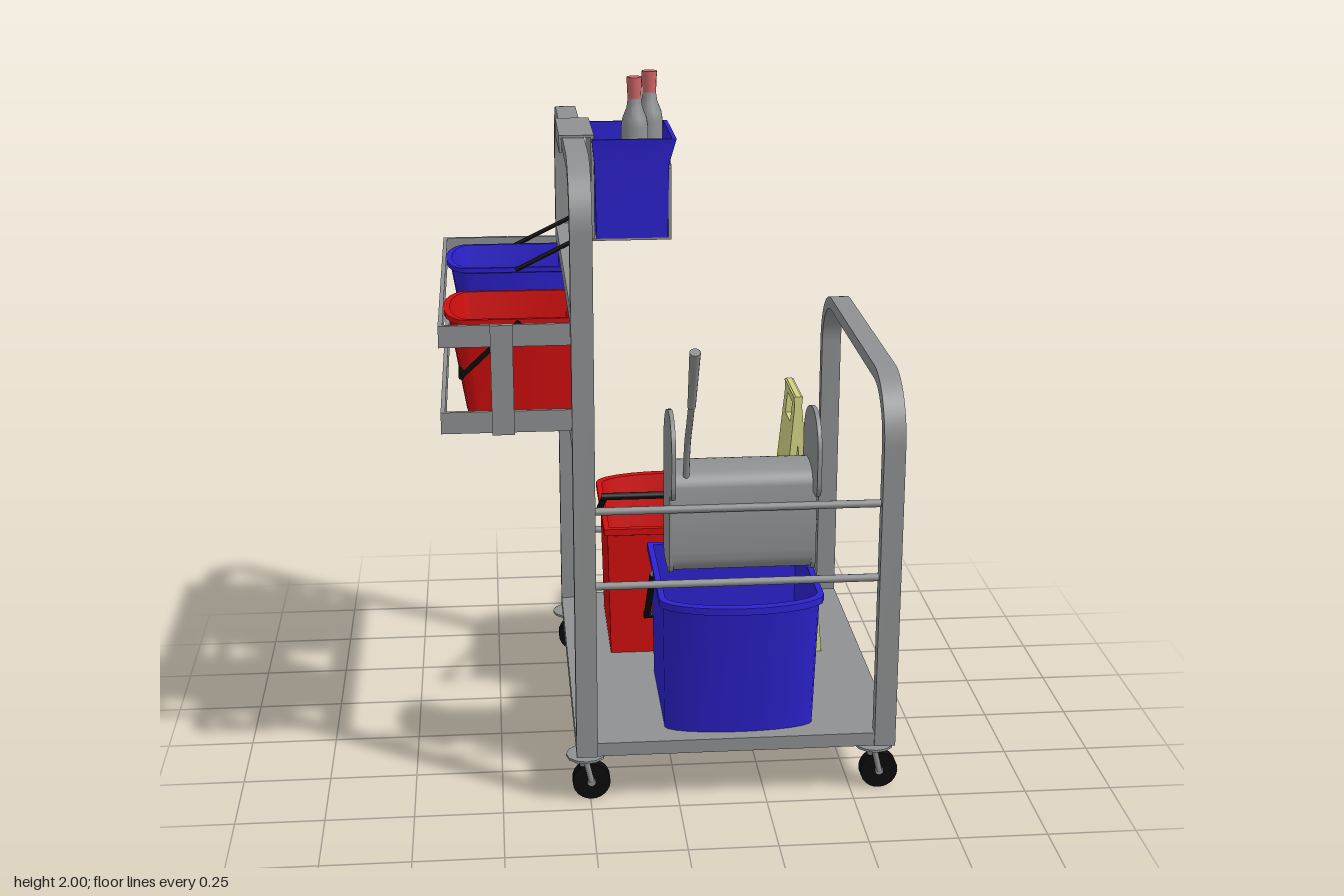
import * as THREE from 'three';
import { toCreasedNormals } from 'three/addons/utils/BufferGeometryUtils.js';

const mat = (name, color, side = THREE.FrontSide) => {
  const m = new THREE.MeshStandardMaterial({ color, side });
  m.name = name;
  return m;
};

export function createModel() {
  const root = new THREE.Group();
  root.name = 'cleaningCart';
  const gray = mat('steelGray', 0x8e9091), blue = mat('blue', 0x2c22cf), red = mat('red', 0xd20e0e);
  const black = mat('black', 0x0b0b0b), yellow = mat('brightYellow', 0xd4d20e);
  const pale = mat('paleYellow', 0xd3d284), pink = mat('pinkCap', 0xd0666a);

  const add = (name, geo, m, parent = root) => {
    const mesh = new THREE.Mesh(geo, m);
    mesh.name = name;
    parent.add(mesh);
    return mesh;
  };
  // box given by its bounds
  const box = (name, m, x0, x1, y0, y1, z0, z1, parent) =>
    add(name, new THREE.BoxGeometry(x1 - x0, y1 - y0, z1 - z0)
      .translate((x0 + x1) / 2, (y0 + y1) / 2, (z0 + z1) / 2), m, parent);
  // round rod between two points
  const rod = (name, m, a, b, r, parent, r2 = r) => {
    const A = new THREE.Vector3(...a), B = new THREE.Vector3(...b), d = B.clone().sub(A);
    const mesh = add(name, new THREE.CylinderGeometry(r2, r, d.length(), 12), m, parent);
    mesh.position.copy(A).add(B).multiplyScalar(0.5);
    mesh.quaternion.setFromUnitVectors(new THREE.Vector3(0, 1, 0), d.normalize());
    return mesh;
  };
  // shape drawn in (z, y), extruded from x0 to x1
  const slab = (name, m, shape, x0, x1, parent) => {
    const g = new THREE.ExtrudeGeometry(shape, { depth: x1 - x0, bevelEnabled: false, curveSegments: 12 });
    g.rotateY(-Math.PI / 2).translate(x1, 0, 0);
    return add(name, toCreasedNormals(g, 0.5), m, parent);
  };
  const poly = pts => new THREE.Shape(pts.map(p => new THREE.Vector2(...p)));

  // platform
  box('platform', gray, -0.29, 0.62, 0.15, 0.19, -0.635, 0.47);

  // bent end frames
  const hoop = (name, x0, x1, top) => {
    const a = -0.635, b = 0.475, t = 0.037, R = 0.185, s = new THREE.Shape();
    s.moveTo(a, 0.15);
    s.lineTo(a, top - R);
    s.absarc(a + R, top - R, R, Math.PI, Math.PI / 2, true);
    s.absarc(b - R, top - R, R, Math.PI / 2, 0, true);
    s.lineTo(b, 0.15);
    s.lineTo(b - t, 0.15);
    s.absarc(b - R, top - R, R - t, 0, Math.PI / 2, false);
    s.absarc(a + R, top - R, R - t, Math.PI / 2, Math.PI, false);
    s.lineTo(a + t, 0.15);
    slab(name, gray, s, x0, x1);
  };
  hoop('tallFrame', -0.29, -0.23, 1.84);
  hoop('shortFrame', 0.56, 0.62, 1.23);
  for (const y of [1.405, 1.06]) box('frameCrossbar', gray, -0.29, -0.23, y, y + 0.048, -0.62, 0.46);

  // side rails
  for (const [y, z] of [[0.88, 0.45], [0.66, 0.45], [0.42, -0.617]])
    rod('sideRail', gray, [-0.25, y, z], [0.58, y, z], 0.011);

  // casters
  for (const x of [-0.262, 0.568]) for (const z of [0.42, -0.617]) {
    const c = new THREE.Group();
    c.name = 'caster';
    c.position.set(x, 0, z);
    root.add(c);
    rod('casterPlate', gray, [0, 0.13, 0], [0, 0.137, 0], 0.056, c);
    rod('casterStem', gray, [0, 0.1, 0], [0, 0.155, 0], 0.018, c);
    for (const s of [-1, 1]) rod('casterFork', gray, [0, 0.12, s * 0.02], [0.015, 0.055, s * 0.02], 0.008, c);
    add('wheel', new THREE.CylinderGeometry(0.054, 0.054, 0.034, 24).rotateX(Math.PI / 2), black, c)
      .position.set(0.015, 0.054, 0);
    rod('axle', gray, [0.015, 0.054, -0.024], [0.015, 0.054, 0.024], 0.012, c);
  }

  // hanging side rack
  for (const y of [1.11, 1.35]) {
    box('rackFront', gray, -0.64, -0.628, y, y + 0.06, -0.615, 0.437);
    for (const z of [-0.615, 0.425]) box('rackEnd', gray, -0.64, -0.27, y, y + 0.06, z, z + 0.012);
  }
  box('rackStrap', gray, -0.503, -0.443, 1.105, 1.113, -0.62, 0.442);
  for (const z of [-0.622, 0.434]) box('rackStrap', gray, -0.503, -0.443, 1.105, 1.41, z, z + 0.01);

  // bucket: cross-sections with a flat back and bowed nose, lofted bottom - lip - inside
  const ring = (w, back, d0, d, y) => {
    const pts = [[-w / 2, y, back], [w / 2, y, back]];
    for (let i = 0; i <= 12; i++) {
      const t = Math.PI * i / 12;
      pts.push([w / 2 * Math.cos(t), y, d0 + (d - d0) * Math.sin(t)]);
    }
    return pts;
  };
  const loft = rings => {
    const n = rings[0].length, idx = [];
    for (let k = 0; k < rings.length - 1; k++) for (let i = 0; i < n; i++) {
      const a = k * n + i, b = k * n + (i + 1) % n;
      idx.push(a, a + n, b, b, a + n, b + n);
    }
    const g = new THREE.BufferGeometry();
    g.setAttribute('position', new THREE.Float32BufferAttribute(rings.flat(2), 3));
    g.setIndex(idx);
    return toCreasedNormals(g.toNonIndexed(), 0.6);
  };
  const bucketGeo = loft([
    ring(0, 0.2, 0.2, 0.2, 0), ring(0.425, 0.01, 0.385, 0.435, 0), ring(0.442, 0.004, 0.42, 0.5, 0.39),
    ring(0.464, -0.008, 0.428, 0.518, 0.395), ring(0.464, -0.008, 0.428, 0.518, 0.415),
    ring(0.43, 0.012, 0.415, 0.492, 0.415), ring(0.412, 0.02, 0.378, 0.425, 0.012), ring(0, 0.2, 0.2, 0.2, 0.012),
  ]);
  const bucket = (name, m, pos, turn, scale, dy, dz) => {
    const g = new THREE.Group();
    g.name = name;
    g.position.set(...pos);
    g.rotation.y = turn;
    g.scale.setScalar(scale);
    root.add(g);
    add('bucketBody', bucketGeo, m, g);
    const y = 0.405, z = 0.215, x = 0.232;
    for (const s of [-x, x]) rod('bailArm', black, [s, y, z], [s, y + dy, z + dz], 0.01, g);
    rod('bailGrip', black, [-x - 0.01, y + dy, z + dz], [x + 0.01, y + dy, z + dz], 0.011, g);
  };
  bucket('largeBlueBucket', blue, [0.18, 0.19, -0.005], 0, 1, -0.225, -0.225);
  bucket('largeRedBucket', red, [0.058, 0.19, -0.135], Math.PI, 1, 0.14, -0.285);
  bucket('smallBlueBucket', blue, [-0.275, 1.113, -0.41], -Math.PI / 2, 0.685, 0.14, -0.285);
  bucket('smallRedBucket', red, [-0.275, 1.113, 0.175], -Math.PI / 2, 0.685, -0.22, 0.235);

  // mop wringer
  const wringer = new THREE.Group();
  wringer.name = 'wringer';
  root.add(wringer);
  const trough = new THREE.Shape();
  trough.moveTo(0.255, 0.75);
  trough.quadraticCurveTo(0.255, 0.685, 0.32, 0.685);
  trough.lineTo(0.39, 0.685);
  trough.quadraticCurveTo(0.45, 0.685, 0.45, 0.75);
  trough.lineTo(0.45, 0.93);
  trough.quadraticCurveTo(0.44, 0.985, 0.36, 0.985);
  trough.quadraticCurveTo(0.255, 0.985, 0.255, 0.9);
  slab('wringerTrough', gray, trough, -0.02, 0.38, wringer);
  const cheek = new THREE.Shape();
  cheek.moveTo(0.26, 0.73);
  cheek.quadraticCurveTo(0.26, 0.68, 0.305, 0.68);
  cheek.lineTo(0.4, 0.68);
  cheek.quadraticCurveTo(0.447, 0.68, 0.447, 0.73);
  cheek.lineTo(0.447, 0.92);
  cheek.lineTo(0.49, 0.92);
  cheek.quadraticCurveTo(0.52, 0.93, 0.52, 0.97);
  cheek.lineTo(0.52, 1.06);
  cheek.quadraticCurveTo(0.5, 1.15, 0.41, 1.15);
  cheek.quadraticCurveTo(0.29, 1.14, 0.26, 1.04);
  for (const x of [-0.026, 0.37]) slab('wringerCheek', gray, cheek, x, x + 0.012, wringer);
  const leverPath = new THREE.CatmullRomCurve3([[0.95, 0.42], [1.07, 0.46], [1.15, 0.52], [1.23, 0.58]]
    .map(([y, z]) => new THREE.Vector3(0.022, y, z)));
  add('wringerLever', new THREE.TubeGeometry(leverPath, 12, 0.009, 10), gray, wringer);
  rod('leverGrip', gray, [0.022, 1.21, 0.568], [0.022, 1.385, 0.655], 0.011, wringer, 0.015);

  // folding floor sign: two banded leaves
  const H = 0.82, half = y => 0.14 - 0.04 * y / H;
  const band = (y0, y1) => poly([[-half(y0), y0], [half(y0), y0], [half(y1), y1], [-half(y1), y1]]);
  const foot = poly([[-half(0), 0], [-0.05, 0], [-0.04, 0.012], [0.04, 0.012], [0.05, 0],
    [half(0), 0], [half(0.2), 0.2], [-half(0.2), 0.2]]);
  const head = band(0.58, H);
  head.holes.push(poly([[-0.05, 0.725], [-0.05, 0.79], [0.05, 0.79], [0.05, 0.725]]));
  // slipping figure drawn as thin plates
  const figure = [
    [[-0.02, 0.44], [0.025, 0.42], [0.03, 0.46], [0.0, 0.49]],
    [[-0.03, 0.49], [-0.008, 0.49], [-0.008, 0.515], [-0.03, 0.515]],
    [[-0.02, 0.44], [0.0, 0.42], [-0.03, 0.37], [-0.045, 0.375]],
    [[0.01, 0.43], [0.03, 0.44], [0.05, 0.39], [0.035, 0.38]],
    [[0.02, 0.47], [0.03, 0.45], [0.06, 0.475], [0.055, 0.485]],
  ];
  for (const s of [-1, 1]) {
    const leaf = new THREE.Group();
    leaf.name = 'signLeaf';
    leaf.position.set(0.415 + s * 0.082, 0.193, -0.237);
    leaf.rotation.set(0, s < 0 ? Math.PI : 0, 0.09);
    root.add(leaf);
    slab('signFoot', pale, foot, -0.022, 0, leaf);
    slab('signBand', yellow, band(0.2, 0.58), -0.022, 0, leaf);
    slab('signHead', pale, head, -0.022, 0, leaf);
    for (const f of figure) slab('signFigure', black, poly(f), -0.002, 0.003, leaf);
  }

  // caddy: open flared box
  const caddy = new THREE.Group();
  caddy.name = 'caddy';
  root.add(caddy);
  const rect = (x0, x1, z0, z1, y) => [[x0, y, z0], [x1, y, z0], [x1, y, z1], [x0, y, z1]];
  add('caddyBox', loft([
    rect(-0.1, -0.1, -0.06, -0.06, 1.556), rect(-0.198, 0.002, -0.205, 0.08, 1.556),
    rect(-0.203, 0.005, -0.208, 0.085, 1.765), rect(-0.21, 0.025, -0.213, 0.094, 1.837),
    rect(-0.2, 0.013, -0.203, 0.084, 1.837), rect(-0.19, -0.006, -0.197, 0.072, 1.57),
    rect(-0.1, -0.1, -0.06, -0.06, 1.57)]), blue, caddy);

  // strap hooked over the frame and wrapped under the caddy
  box('strapInside', gray, -0.212, -0.203, 1.55, 1.847, -0.21, 0.078, caddy);
  box('strapTop', gray, -0.3, -0.203, 1.841, 1.848, -0.21, 0.078, caddy);
  box('strapHook', gray, -0.3, -0.293, 1.8, 1.848, -0.21, 0.078, caddy);
  box('strapBottom', gray, -0.212, 0.012, 1.55, 1.556, -0.207, 0.08, caddy);
  box('strapOutside', gray, 0.004, 0.012, 1.55, 1.762, -0.207, 0.08, caddy);

  // bottles
  const profile = [[0, 0], [0.038, 0], [0.038, 0.29], [0.034, 0.315], [0.022, 0.345], [0.018, 0.375], [0, 0.375]]
    .map(p => new THREE.Vector2(...p));
  const bottleGeo = toCreasedNormals(new THREE.LatheGeometry(profile, 20), 0.6);
  for (const [x, z] of [[-0.037, -0.08], [-0.087, 0.03]]) {
    add('bottle', bottleGeo, gray, caddy).position.set(x, 1.572, z);
    rod('bottleCap', pink, [x, 1.94, z], [x, 2, z], 0.019, caddy, 0.022);
  }
  return root;
}
